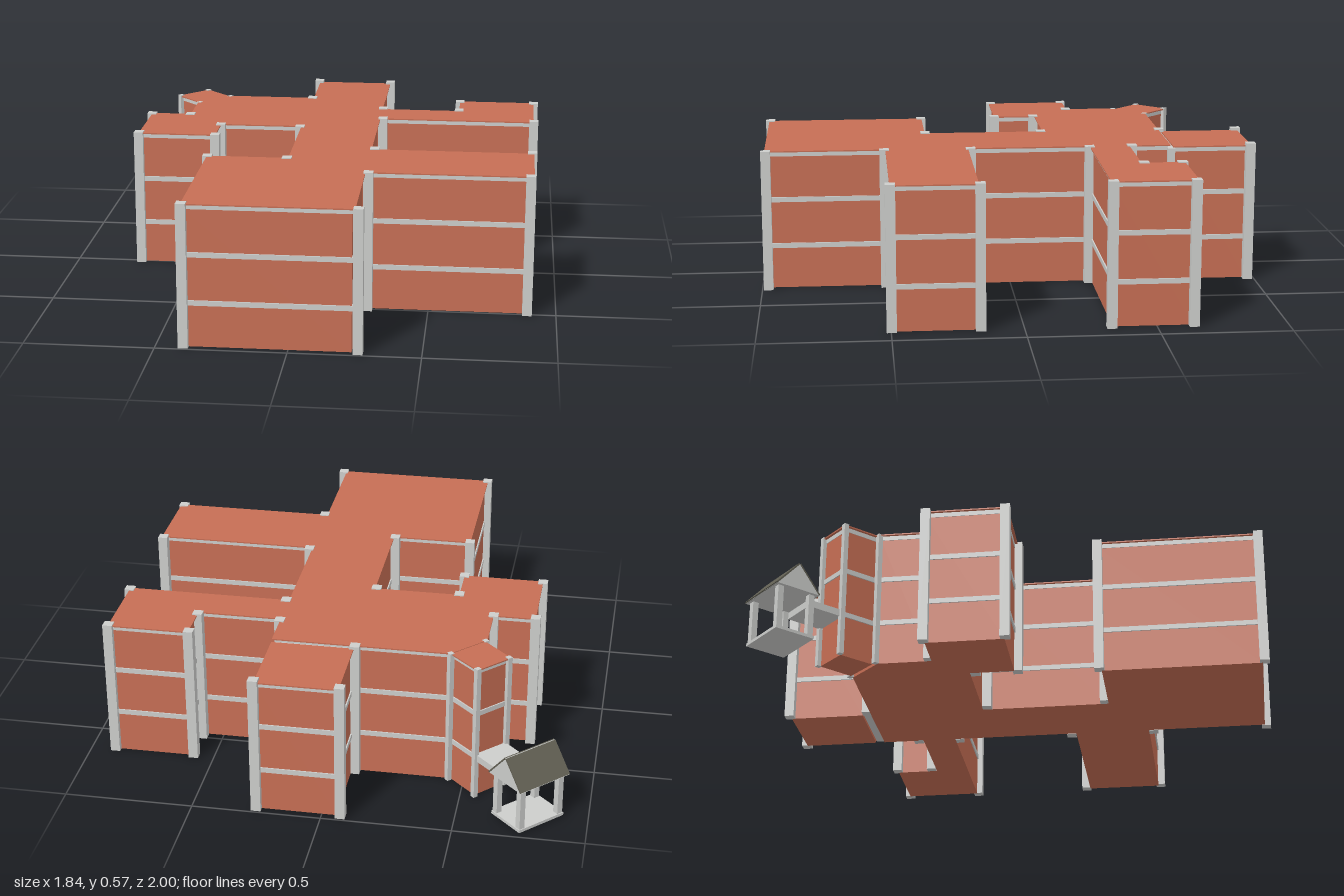
import * as THREE from 'three';

const brick = new THREE.MeshStandardMaterial({ color: 0xc66e54 });
brick.name = 'brick';
const stone = new THREE.MeshStandardMaterial({ color: 0xcccdcb });
stone.name = 'pale stone';
const slate = new THREE.MeshStandardMaterial({ color: 0x605e52 });
slate.name = 'dark roof';

function add(parent, name, geometry, material, x = 0, y = 0, z = 0) {
  const mesh = new THREE.Mesh(geometry, material);
  mesh.name = name;
  mesh.position.set(x, y, z);
  parent.add(mesh);
  return mesh;
}

// Moves every edge of a clockwise plan outline inwards by d
function inset(points, d) {
  const n = points.length;
  return points.map((p, i) => {
    const a = points[(i + n - 1) % n], b = points[(i + 1) % n];
    const u = new THREE.Vector2(p[0] - a[0], p[1] - a[1]).normalize();
    const v = new THREE.Vector2(b[0] - p[0], b[1] - p[1]).normalize();
    const k = d / (1 + u.dot(v));
    return [p[0] - (u.y + v.y) * k, p[1] + (u.x + v.x) * k];
  });
}

// Upright slab over a plan outline of [x, z] points
function slab(points, y0, y1) {
  const shape = new THREE.Shape(points.map(([x, z]) => new THREE.Vector2(x, -z)));
  const g = new THREE.ExtrudeGeometry(shape, { depth: y1 - y0, bevelEnabled: false });
  return g.rotateX(-Math.PI / 2).translate(0, y0, 0);
}

// Three storeys with string courses, a cornice band and a flat roof
function building(name, outline, height) {
  const g = new THREE.Group();
  g.name = name;
  add(g, 'walls', slab(inset(outline, 0.012), 0, height - 0.023), brick);
  for (const y of [0.164, 0.353]) {
    add(g, 'stringCourse', slab(inset(outline, 0.007), y, y + 0.02), stone);
  }
  add(g, 'corniceBand', slab(inset(outline, 0.01), height - 0.023, height - 0.005), stone);
  add(g, 'flatRoof', slab(outline, height - 0.005, height), brick);
  return g;
}

function shelter() {
  const g = new THREE.Group();
  g.name = 'shelter';
  const length = 0.235, half = 0.094, eave = 0.19, rise = 0.108;
  add(g, 'shelterFloor', new THREE.BoxGeometry(0.215, 0.012, 0.167), stone, 0, 0.014, 0);
  for (const sx of [-1, 1]) for (const sz of [-1, 1]) {
    add(g, 'shelterPost', new THREE.BoxGeometry(0.024, 0.18, 0.024), stone, sx * 0.092, 0.1, sz * 0.068);
  }
  // Gabled body under the two roof slopes
  const gable = new THREE.Shape([
    new THREE.Vector2(-half, 0), new THREE.Vector2(half, 0), new THREE.Vector2(0, rise)]);
  const body = new THREE.ExtrudeGeometry(gable, { depth: length, bevelEnabled: false });
  body.translate(0, 0, -length / 2).rotateY(Math.PI / 2);
  add(g, 'gables', body, stone, 0, eave, 0);
  const slope = Math.hypot(half, rise), angle = Math.atan2(rise, half);
  for (const s of [-1, 1]) {
    const panel = add(g, 'roofSlope', new THREE.BoxGeometry(length + 0.002, 0.006, slope - 0.004), slate,
      0, eave + rise / 2, s * (half / 2 + 0.001));
    panel.rotation.x = s * angle;
  }
  // Covered link to the entrance
  add(g, 'walkwayCanopy', new THREE.BoxGeometry(0.148, 0.028, 0.15), stone, 0.005, 0.174, 0.152);
  g.position.set(-0.77, 0, -0.85);
  g.rotation.y = Math.PI / 4;
  return g;
}

export function createModel() {
  const model = new THREE.Group();
  model.name = 'brickBuilding';

  const main = [
    [-0.565, -0.52], [-0.44, -0.648], [0.25, -0.648], [0.25, -0.48], [0.58, -0.48], [0.58, -0.65],
    [0.9, -0.65], [0.9, -0.32], [0.25, -0.32], [0.25, 0.17], [0.9, 0.17], [0.9, 0.5],
    [0.25, 0.5], [0.25, 0.98], [-0.395, 0.98], [-0.395, 0.33], [-0.07, 0.33], [-0.07, -0.16],
    [-0.41, -0.16], [-0.41, 0.015], [-0.73, 0.015], [-0.73, -0.315], [-0.565, -0.315]];
  const back = [[-0.07, -0.98], [0.25, -0.98], [0.25, -0.66], [-0.07, -0.66]];
  const entrance = [[-0.555, -0.757], [-0.435, -0.64], [-0.55, -0.52], [-0.668, -0.64]];
  model.add(building('mainWings', main, 0.562));
  model.add(building('backWing', back, 0.555));
  model.add(building('entranceBay', entrance, 0.56));
  add(model, 'jointStrip', new THREE.BoxGeometry(0.3, 0.54, 0.03), stone, 0.09, 0.275, -0.654);

  // Corner columns
  const columns = [
    [-0.073, -0.973], [0.252, -0.973], [-0.073, -0.65], [0.58, -0.64], [0.9, -0.64], [0.252, -0.49],
    [0.58, -0.49], [0.9, -0.328], [0.262, -0.318], [-0.73, -0.307], [-0.565, -0.312], [-0.73, 0.006],
    [-0.41, 0.015], [-0.41, -0.153], [-0.075, -0.153], [0.262, 0.16], [0.893, 0.165], [0.887, 0.498],
    [0.262, 0.505], [-0.075, 0.328], [-0.393, 0.333], [-0.393, 0.975], [0.262, 0.975]];
  const columnShape = new THREE.BoxGeometry(0.038, 0.566, 0.038);
  for (const [x, z] of columns) add(model, 'cornerColumn', columnShape, stone, x, 0.283, z);

  // Slim columns on the angled entrance
  const slim = new THREE.BoxGeometry(0.02, 0.563, 0.02);
  for (const [x, z] of [[-0.555, -0.748], [-0.66, -0.64], [-0.44, -0.645], [-0.558, -0.523]]) {
    add(model, 'entranceColumn', slim, stone, x, 0.2815, z).rotation.y = Math.PI / 4;
  }

  model.add(shelter());
  return model;
}
